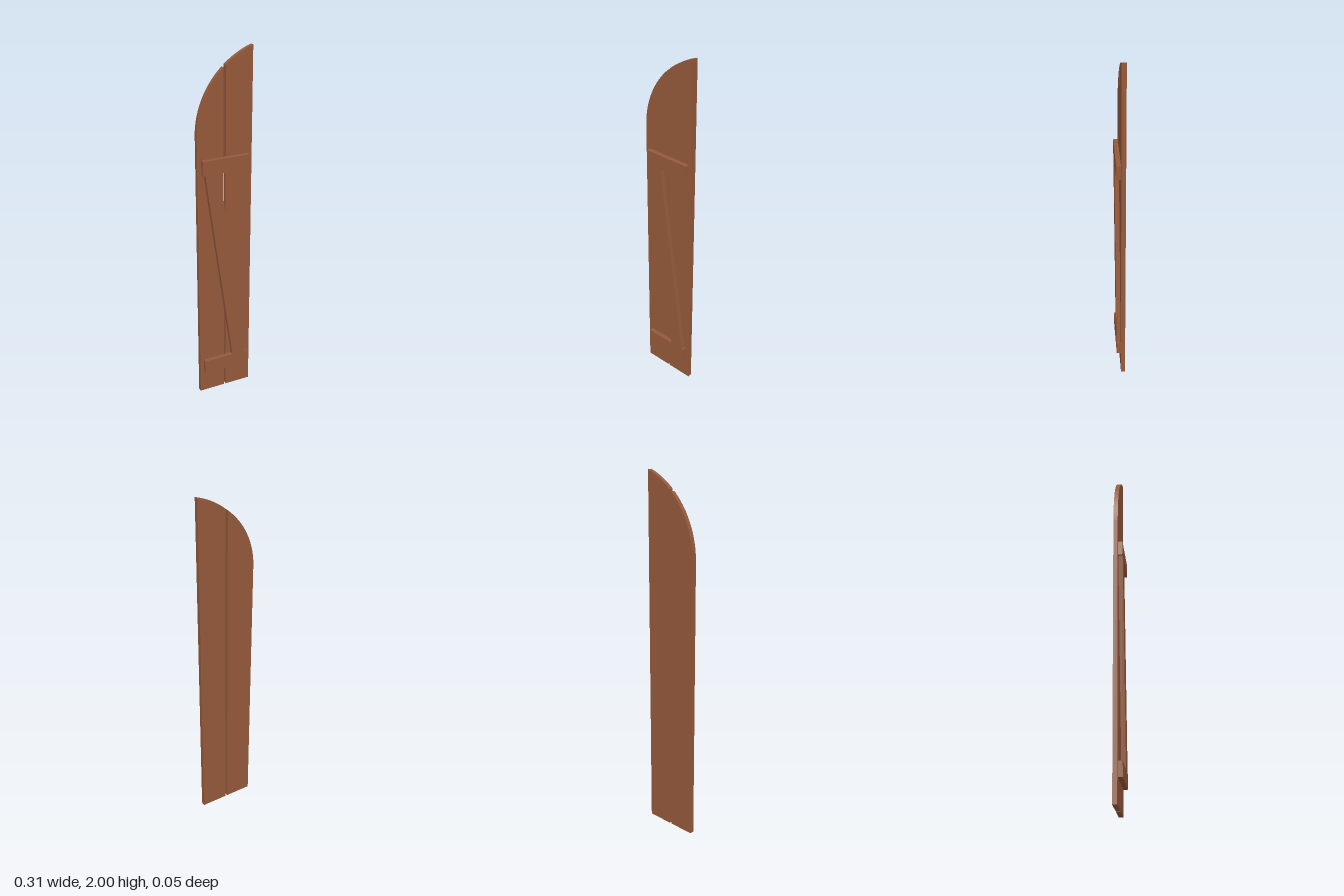
import * as THREE from 'three';
import { toCreasedNormals } from 'three/addons/utils/BufferGeometryUtils.js';

const THICK = 0.024;
const HALF_WIDTH = 0.156, HALF_GAP = 0.006;
const ARCH = { x: 0.304, y: 1.565, r: 0.46 }; // circle that rounds off the top

export function createModel() {
  const group = new THREE.Group();
  group.name = 'archedShutter';
  const wood = new THREE.MeshStandardMaterial({ color: 0x965a3b });
  wood.name = 'brown wood';

  // Extrudes an outline by one plank thickness, starting at depth z
  function plank(name, shape, z) {
    const geometry = new THREE.ExtrudeGeometry(shape, { depth: THICK, bevelEnabled: false, curveSegments: 20 });
    const mesh = new THREE.Mesh(toCreasedNormals(geometry, 0.4), wood);
    mesh.name = name;
    mesh.position.z = z;
    group.add(mesh);
  }

  const polygon = (points) => new THREE.Shape(points.map(([x, y]) => new THREE.Vector2(x, y)));

  // Upright board whose top follows the arch
  function board(name, x0, x1) {
    const angleAt = (x) => Math.acos(Math.max(-1, (x - ARCH.x) / ARCH.r));
    const shape = new THREE.Shape();
    shape.moveTo(x0, 0);
    shape.lineTo(x1, 0);
    shape.absarc(ARCH.x, ARCH.y, ARCH.r, angleAt(x1), angleAt(x0), false);
    shape.closePath();
    plank(name, shape, -THICK);
  }
  board('rightBoard', -HALF_WIDTH, -HALF_GAP);
  board('leftBoard', HALF_GAP, HALF_WIDTH);

  // Cross battens on the front
  const bottomTop = 0.215, topBottom = 1.36, battenHeight = 0.08, battenHalf = 0.133;
  function batten(name, y) {
    plank(name, polygon([
      [-battenHalf, y], [battenHalf, y],
      [battenHalf, y + battenHeight], [-battenHalf, y + battenHeight],
    ]), 0);
  }
  batten('lowerBatten', bottomTop - battenHeight);
  batten('upperBatten', topBottom);

  // Diagonal brace between the battens
  plank('diagonalBrace', polygon([
    [0.039, bottomTop], [0.121, bottomTop], [-0.039, topBottom], [-0.121, topBottom],
  ]), 0);

  return group;
}
